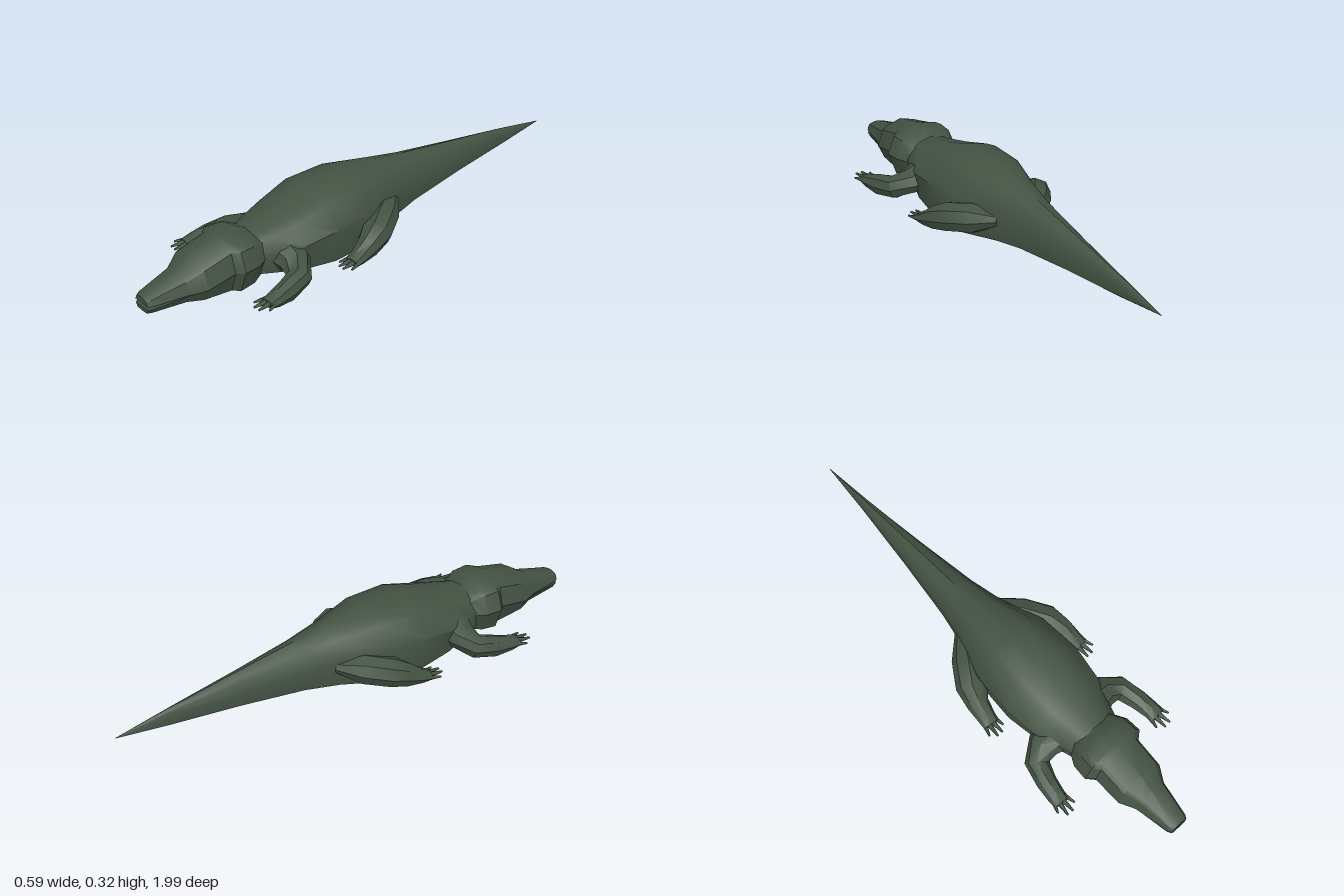
import * as THREE from 'three';
import { toCreasedNormals } from 'three/addons/utils/BufferGeometryUtils.js';

const skin = new THREE.MeshStandardMaterial({ color: 0x435243 });

// Skin a list of rings (each counter-clockwise about the direction of travel) and cap both ends
function loft(name, rings, crease = 0.6) {
  const n = rings[0].length, pos = [], idx = [];
  rings.forEach(r => r.forEach(p => pos.push(p.x, p.y, p.z)));
  for (let i = 0; i < rings.length - 1; i++) {
    for (let j = 0; j < n; j++) {
      const a = i * n + j, b = i * n + (j + 1) % n;
      idx.push(a, b, b + n, a, b + n, a + n);
    }
  }
  [0, rings.length - 1].forEach((r, end) => {
    const c = rings[r].reduce((s, p) => s.add(p), new THREE.Vector3()).divideScalar(n);
    const ci = pos.push(c.x, c.y, c.z) / 3 - 1;
    for (let j = 0; j < n; j++) {
      const a = r * n + j, b = r * n + (j + 1) % n;
      idx.push(ci, end ? a : b, end ? b : a);
    }
  });
  const g = new THREE.BufferGeometry();
  g.setAttribute('position', new THREE.Float32BufferAttribute(pos, 3));
  g.setIndex(idx);
  const mesh = new THREE.Mesh(toCreasedNormals(g, crease), skin);
  mesh.name = name;
  return mesh;
}

// Mirror a right-hand half outline (bottom to top) into a full ring at z
function mirrorRing(half, z) {
  const other = half.slice(1, -1).reverse().map(([x, y]) => [-x, y]);
  return [...half, ...other].map(([x, y]) => new THREE.Vector3(x, y, z));
}

// Trunk and tail
function makeBody() {
  const outline = [[0, -1], [0.55, -0.9], [0.9, -0.74], [1, 0.12], [0.68, 0.72], [0.46, 0.86], [0, 1]];
  // z, half width, top, bottom, middle height
  const rows = [
    [-0.995, 0.001, 0.131, 0.129, 0.13],
    [-0.78, 0.018, 0.175, 0.102, 0.135],
    [-0.5, 0.05, 0.222, 0.084, 0.145],
    [-0.24, 0.084, 0.266, 0.06, 0.155],
    [-0.1, 0.112, 0.295, 0.035, 0.165],
    [0.07, 0.172, 0.323, 0.003, 0.18],
    [0.24, 0.184, 0.319, 0.01, 0.18],
    [0.38, 0.165, 0.275, 0.035, 0.165],
    [0.5, 0.122, 0.25, 0.062, 0.16],
    [0.57, 0.1, 0.24, 0.08, 0.16],
  ];
  return loft('body and tail', rows.map(([z, w, top, bot, mid]) => mirrorRing(
    outline.map(([x, y]) => [x * w, mid + y * (y > 0 ? top - mid : mid - bot)]), z)), 0.75);
}

// Skull with upper snout, and the lower jaw slightly open at the tip
function makeHead() {
  const head = new THREE.Group();
  head.name = 'head';
  // z, half width, top, upper lip, lower lip, bottom
  const rows = [
    [0.51, 0.105, 0.235, 0.16, 0.16, 0.075],
    [0.57, 0.138, 0.268, 0.163, 0.163, 0.058],
    [0.635, 0.142, 0.272, 0.162, 0.162, 0.051],
    [0.66, 0.112, 0.268, 0.155, 0.155, 0.056],
    [0.78, 0.108, 0.238, 0.135, 0.135, 0.072],
    [0.84, 0.074, 0.196, 0.124, 0.12, 0.08],
    [0.98, 0.047, 0.157, 0.124, 0.111, 0.088],
    [0.995, 0.038, 0.15, 0.124, 0.109, 0.091],
  ];
  head.add(
    loft('skull and upper jaw', rows.map(([z, w, top, lip]) => {
      const h = top - lip;
      return mirrorRing([[0, lip], [w, lip], [0.79 * w, lip + 0.68 * h], [0.6 * w, lip + 0.82 * h], [0, top]], z);
    })),
    loft('lower jaw', rows.map(([z, w, , , lip, bot]) => mirrorRing(
      [[0, bot], [0.74 * w, bot + 0.13 * (lip - bot)], [0.98 * w, lip], [0, lip]], z))),
  );
  return head;
}

// Leg: elliptical sections along a path, plus toes fanned at the front of the foot
function makeLeg(name, side, rows, toes) {
  const leg = new THREE.Group();
  leg.name = name;
  const path = rows.map(([x, y, z]) => new THREE.Vector3(x * side, y, z));
  const rings = path.map((p, i) => {
    const dir = path[Math.min(i + 1, path.length - 1)].clone().sub(path[Math.max(i - 1, 0)]).normalize();
    const u = new THREE.Vector3(0, 1, 0).cross(dir).normalize();
    const v = dir.clone().cross(u);
    return Array.from({ length: 8 }, (_, k) => {
      const a = k * Math.PI / 4;
      return p.clone().addScaledVector(u, Math.cos(a) * rows[i][3]).addScaledVector(v, Math.sin(a) * rows[i][4]);
    });
  });
  leg.add(loft('limb', rings));
  toes.forEach(([x, y, z, turn]) => {
    const toe = new THREE.Mesh(new THREE.CylinderGeometry(0.004, 0.012, 0.06, 5).rotateX(Math.PI / 2), skin);
    toe.name = 'toe';
    toe.position.set(x * side, y, z);
    toe.rotation.y = turn * side;
    leg.add(toe);
  });
  return leg;
}

export function createModel() {
  const model = new THREE.Group();
  model.name = 'crocodile';
  model.add(makeBody(), makeHead());

  // path x, y, z, half width, half height
  const fore = [
    [0.09, 0.145, 0.43, 0.075, 0.06],
    [0.16, 0.13, 0.425, 0.062, 0.05],
    [0.218, 0.105, 0.455, 0.048, 0.047],
    [0.24, 0.092, 0.53, 0.04, 0.045],
    [0.25, 0.088, 0.595, 0.036, 0.028],
    [0.253, 0.088, 0.63, 0.034, 0.015],
  ];
  const hind = [
    [0.085, 0.155, -0.11, 0.03, 0.025],
    [0.14, 0.14, -0.02, 0.062, 0.06],
    [0.2, 0.125, 0.07, 0.062, 0.058],
    [0.224, 0.102, 0.13, 0.044, 0.048],
    [0.232, 0.08, 0.19, 0.036, 0.026],
    [0.236, 0.076, 0.22, 0.034, 0.015],
  ];
  const foreToes = [[0.222, 0.088, 0.632, -0.2], [0.243, 0.09, 0.652, 0], [0.264, 0.09, 0.65, 0.15], [0.28, 0.088, 0.622, 0.4]];
  const hindToes = [[0.208, 0.075, 0.222, -0.15], [0.226, 0.076, 0.242, 0], [0.246, 0.076, 0.242, 0.1], [0.263, 0.075, 0.222, 0.35]];
  for (const [label, side] of [['left', 1], ['right', -1]]) {
    model.add(makeLeg(label + ' front leg', side, fore, foreToes));
    model.add(makeLeg(label + ' hind leg', side, hind, hindToes));
  }
  return model;
}
